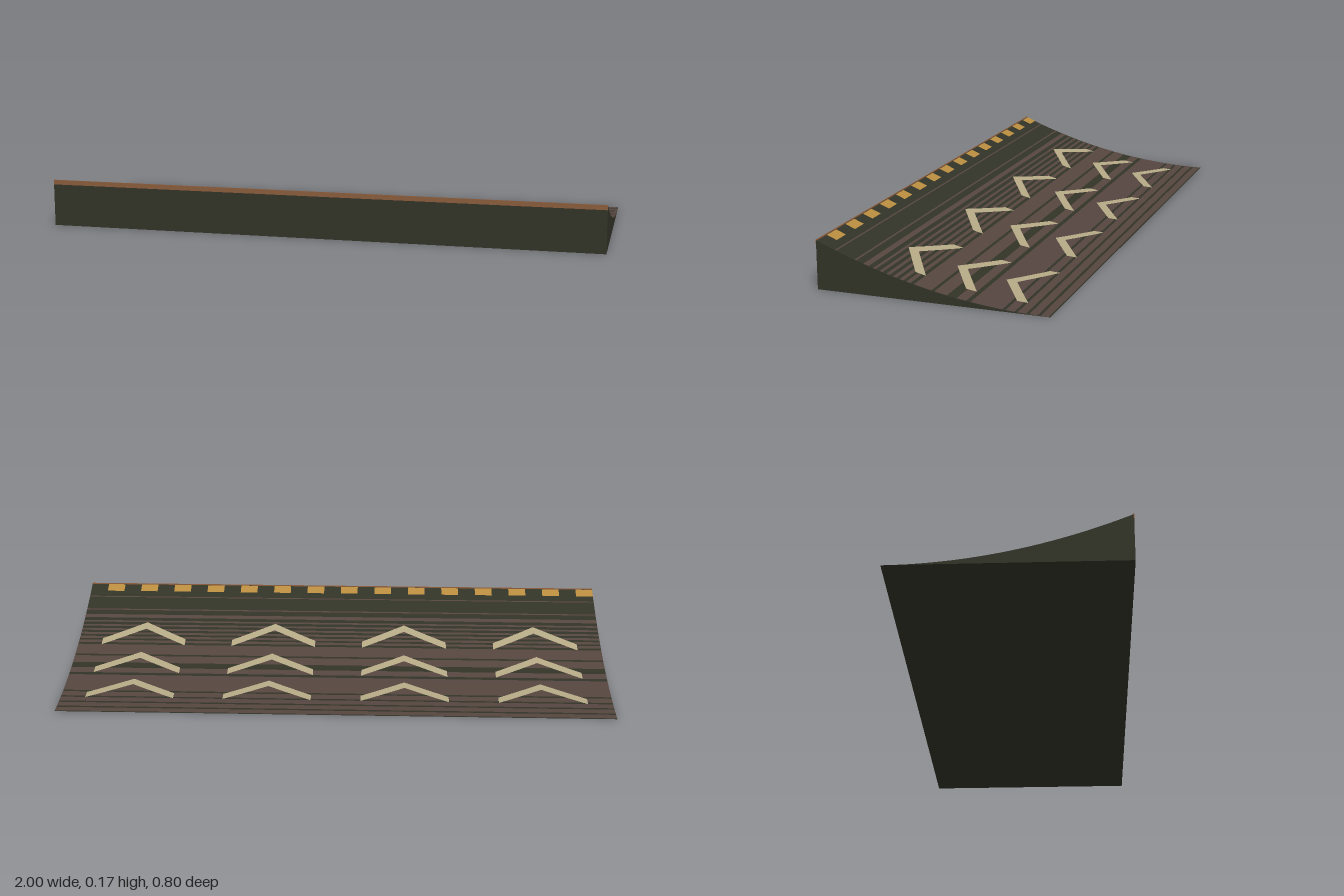
import * as THREE from 'three';

const HEIGHT = 0.167, HALF = 0.4;
// Concave riding surface: height at depth z
const rampY = (z) => HEIGHT * ((z + HALF) / (2 * HALF)) ** 2;

function mat(name, color) {
  const m = new THREE.MeshStandardMaterial({ color });
  m.name = name;
  return m;
}

// Thin face laid on the ramp, between a back edge and a front edge given as z(x)
function decal(x0, x1, back, front, lift, nx = 1, nz = 1) {
  const g = new THREE.PlaneGeometry(1, 1, nx, nz);
  const p = g.attributes.position;
  for (let i = 0; i < p.count; i++) {
    const x = x0 + (x1 - x0) * (p.getX(i) + 0.5);
    const z = back(x) + (front(x) - back(x)) * (0.5 - p.getY(i));
    p.setXYZ(i, x, rampY(z) + lift, z);
  }
  g.computeVertexNormals();
  return g;
}

export function createModel() {
  const group = new THREE.Group();
  const dark = mat('dark olive', 0x323327);
  const wood = mat('weathered brown', 0x55453f);
  const cream = mat('faded cream', 0xb5a985);
  const amber = mat('amber', 0xb88c40);
  const rust = mat('rust', 0x8c5d3c);

  const add = (name, geometry, material, parent = group) => {
    const mesh = new THREE.Mesh(geometry, material);
    mesh.name = name;
    parent.add(mesh);
    return mesh;
  };
  const section = (name) => {
    const s = new THREE.Group();
    s.name = name;
    group.add(s);
    return s;
  };

  // Solid wedge with a curved top
  const profile = new THREE.Shape();
  profile.moveTo(-HALF, 0);
  profile.lineTo(HALF, 0);
  for (let i = 64; i > 0; i--) {
    const z = -HALF + (2 * HALF * i) / 64;
    profile.lineTo(z, rampY(z));
  }
  const body = new THREE.ExtrudeGeometry(profile, { depth: 2, bevelEnabled: false });
  body.rotateY(-Math.PI / 2).translate(1, 0, 0);
  add('rampBody', body, dark);

  // Worn deck boards, broad at the foot and narrowing towards the lip
  const boards = section('deckBoards');
  [
    [-0.395, -0.368], [-0.358, -0.33], [-0.32, -0.292], [-0.282, -0.252], [-0.242, -0.135],
    [-0.12, -0.088], [-0.055, -0.012], [-0.002, 0.058], [0.07, 0.084], [0.094, 0.107],
    [0.118, 0.13], [0.142, 0.153], [0.166, 0.176], [0.19, 0.199], [0.215, 0.233],
    [0.258, 0.264], [0.328, 0.333],
  ].forEach(([a, b]) =>
    add('deckBoard', decal(-1, 1, () => a, () => b, 0.0008, 1, 4), wood, boards));

  // Three rows of four chevrons pointing to the lip
  const chevrons = section('chevrons');
  for (const tip of [-0.162, 0.012, 0.188]) {
    for (const cx of [-0.75, -0.25, 0.25, 0.75]) {
      const front = (x) => tip - 0.6 * Math.abs(x - cx);
      const back = (x) => front(x) - 0.037;
      add('chevron', decal(cx - 0.16, cx + 0.16, back, front, 0.002, 12, 2), cream, chevrons);
    }
  }

  // Dashed warning line along the lip
  const dashes = section('lipDashes');
  for (let i = 0; i < 15; i++) {
    const x = -1 + (i * 2) / 15;
    add('lipDash', decal(x, x + 1 / 15, () => 0.36, () => 0.395, 0.0015), amber, dashes);
  }

  // Metal edge on the front of the lip
  const edge = new THREE.BoxGeometry(2, 0.017, 0.004);
  edge.translate(0, 0.1605, 0.399);
  add('lipEdge', edge, rust);

  return group;
}
